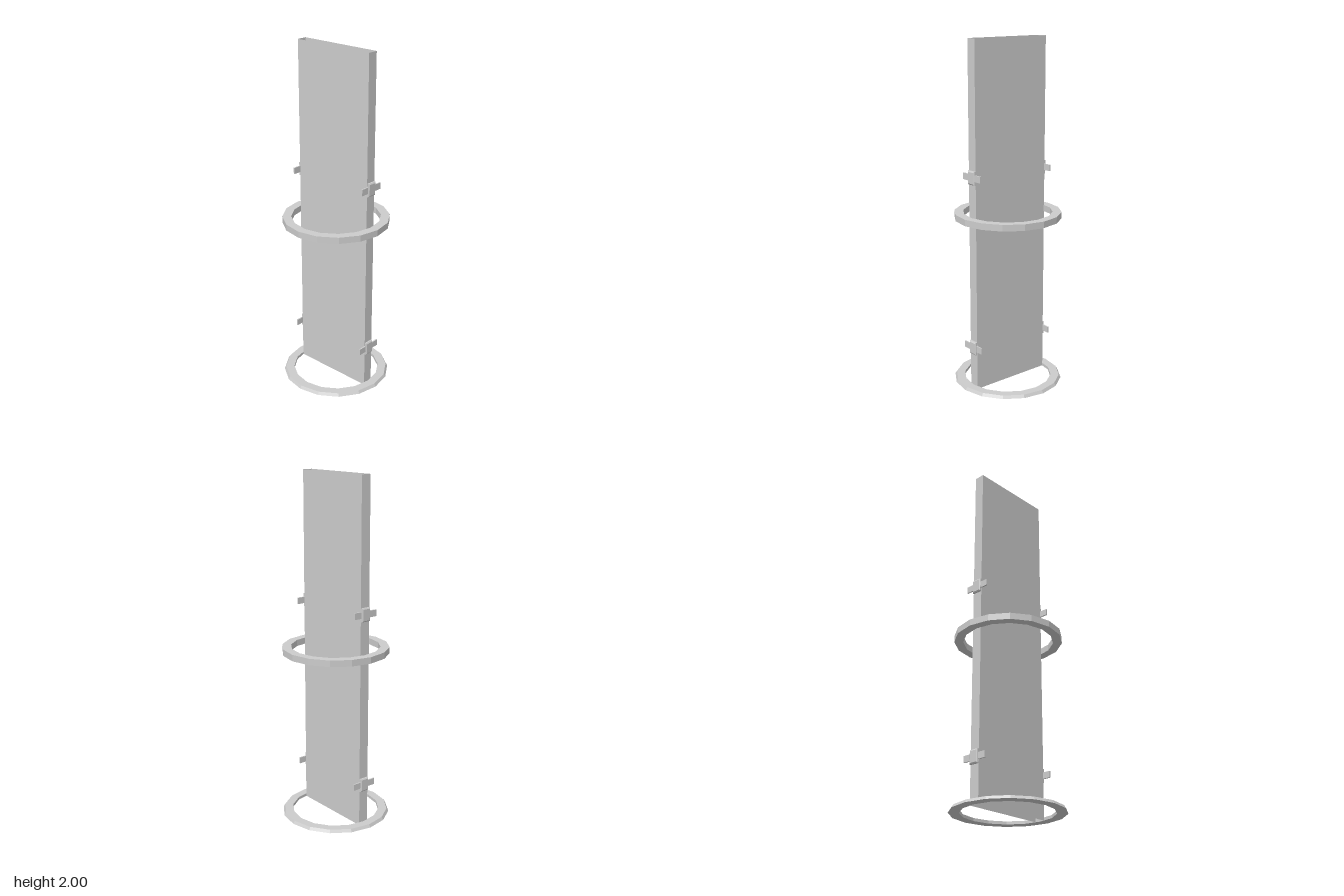
import * as THREE from 'three';

const grey = new THREE.MeshStandardMaterial({ color: 0xcccccc, flatShading: true });
const greyDouble = new THREE.MeshStandardMaterial({ color: 0xcccccc, flatShading: true, side: THREE.DoubleSide });

function add(parent, name, geometry, material = grey) {
  const mesh = new THREE.Mesh(geometry, material);
  mesh.name = name;
  parent.add(mesh);
  return mesh;
}

// Sixteen-sided ring with a four-cornered section
function ringGeometry(inner, outerBottom, outerTop, y0, y1) {
  const profile = [[outerBottom, y0], [outerTop, y1], [inner, y1], [inner, y0], [outerBottom, y0]];
  return new THREE.LatheGeometry(profile.map(([r, y]) => new THREE.Vector2(r, y)), 16);
}

// Block whose outer (+x) face is chamfered on all four edges
function buckleGeometry() {
  const g = new THREE.BoxGeometry(0.016, 0.078, 0.058, 2, 1, 1);
  const p = g.attributes.position;
  for (let i = 0; i < p.count; i++) {
    const x = p.getX(i);
    if (x > 0.007) {
      p.setY(i, p.getY(i) - Math.sign(p.getY(i)) * 0.007);
      p.setZ(i, p.getZ(i) - Math.sign(p.getZ(i)) * 0.006);
    } else if (x > -0.001) p.setX(i, 0.003);
  }
  return g;
}

export function createModel() {
  const model = new THREE.Group();
  model.name = 'panelPost';

  // Flat rectangular sleeve, open at top and bottom
  const sleeve = new THREE.CylinderGeometry(Math.SQRT2, Math.SQRT2, 2, 4, 1, true);
  sleeve.rotateY(Math.PI / 4).scale(0.253, 1, 0.03).translate(0, 1, 0);
  add(model, 'sleeve', sleeve, greyDouble);

  // Tapered base ring and straight middle ring
  add(model, 'baseRing', ringGeometry(0.257, 0.317, 0.307, 0, 0.017));
  add(model, 'middleRing', ringGeometry(0.257, 0.308, 0.308, 0.985, 1.022));

  // Clips on both narrow edges, at two heights
  for (const y of [0.25, 1.25]) {
    for (const side of [1, -1]) {
      const clip = new THREE.Group();
      clip.name = side > 0 ? 'leftClip' : 'rightClip';
      add(clip, 'buckle', buckleGeometry()).position.x = 0.258;
      add(clip, 'strap', new THREE.BoxGeometry(0.008, 0.037, 0.154)).position.x = 0.255;
      clip.position.y = y;
      clip.rotation.y = side > 0 ? 0 : Math.PI;
      model.add(clip);
    }
  }
  return model;
}
